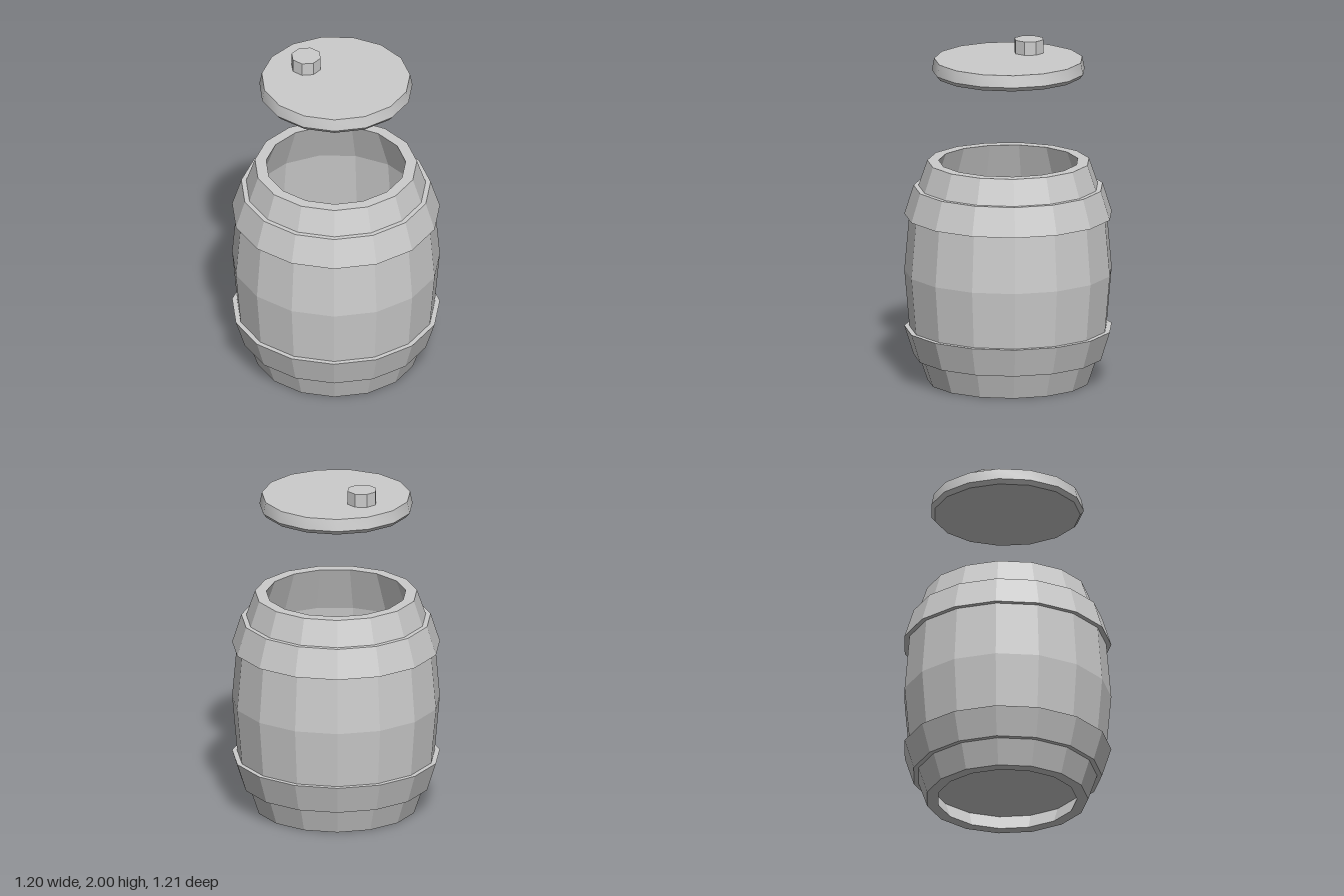
import * as THREE from 'three';
import { toCreasedNormals } from 'three/addons/utils/BufferGeometryUtils.js';

const SIDES = 15;
const flat = new THREE.MeshStandardMaterial({ color: 0xcccccc, flatShading: true });
const smooth = new THREE.MeshStandardMaterial({ color: 0xcccccc });

// Revolve [radius, height] pairs, with one corner pointing along +x
function turned(profile) {
  const points = profile.map(([r, y]) => new THREE.Vector2(r, y));
  return new THREE.LatheGeometry(points, SIDES, Math.PI / 2);
}

function addMesh(parent, name, geometry, material) {
  const mesh = new THREE.Mesh(geometry, material);
  mesh.name = name;
  parent.add(mesh);
  return mesh;
}

export function createModel() {
  const model = new THREE.Group();
  model.name = 'barrelWithLid';
  const barrel = new THREE.Group();
  barrel.name = 'barrel';
  barrel.position.x = -0.007; // an odd number of sides sits off centre
  model.add(barrel);

  // Hollow staved wall: up the outside, over the rim, down the inside
  addMesh(barrel, 'staves', turned([
    [0.474, 0], [0.577, 0.3], [0.608, 0.655], [0.577, 1.01], [0.474, 1.31],
    [0.408, 1.31], [0.505, 1.04], [0.54, 0.655], [0.505, 0.27], [0.408, 0], [0.474, 0],
  ]), flat);

  // Raised bottom panel
  addMesh(barrel, 'bottomPanel', turned([
    [0, 0.09], [0.45, 0.09], [0.46, 0.13], [0, 0.13],
  ]), flat);

  // Two tapered hoops, mirrored about the middle of the barrel
  const hoop = [[0.54, 0.99], [0.608, 0.99], [0.554, 1.16], [0.49, 1.16]];
  addMesh(barrel, 'upperHoop', turned(hoop), flat);
  addMesh(barrel, 'lowerHoop',
    turned(hoop.map(([r, y]) => [r, 1.31 - y]).reverse()), flat);

  // Floating lid with a bevelled lower edge
  const lid = new THREE.Group();
  lid.name = 'lid';
  model.add(lid);
  const disc = addMesh(lid, 'lidDisc', toCreasedNormals(turned([
    [0, 1.825], [0.428, 1.825], [0.448, 1.85], [0.434, 1.92], [0, 1.92],
  ]), 0.6), smooth);
  disc.position.x = -0.007;

  // Off-centre bung
  const bung = addMesh(lid, 'bung', new THREE.CylinderGeometry(0.088, 0.088, 0.1, 8), flat);
  bung.position.set(-0.103, 1.95, -0.183);

  return model;
}
